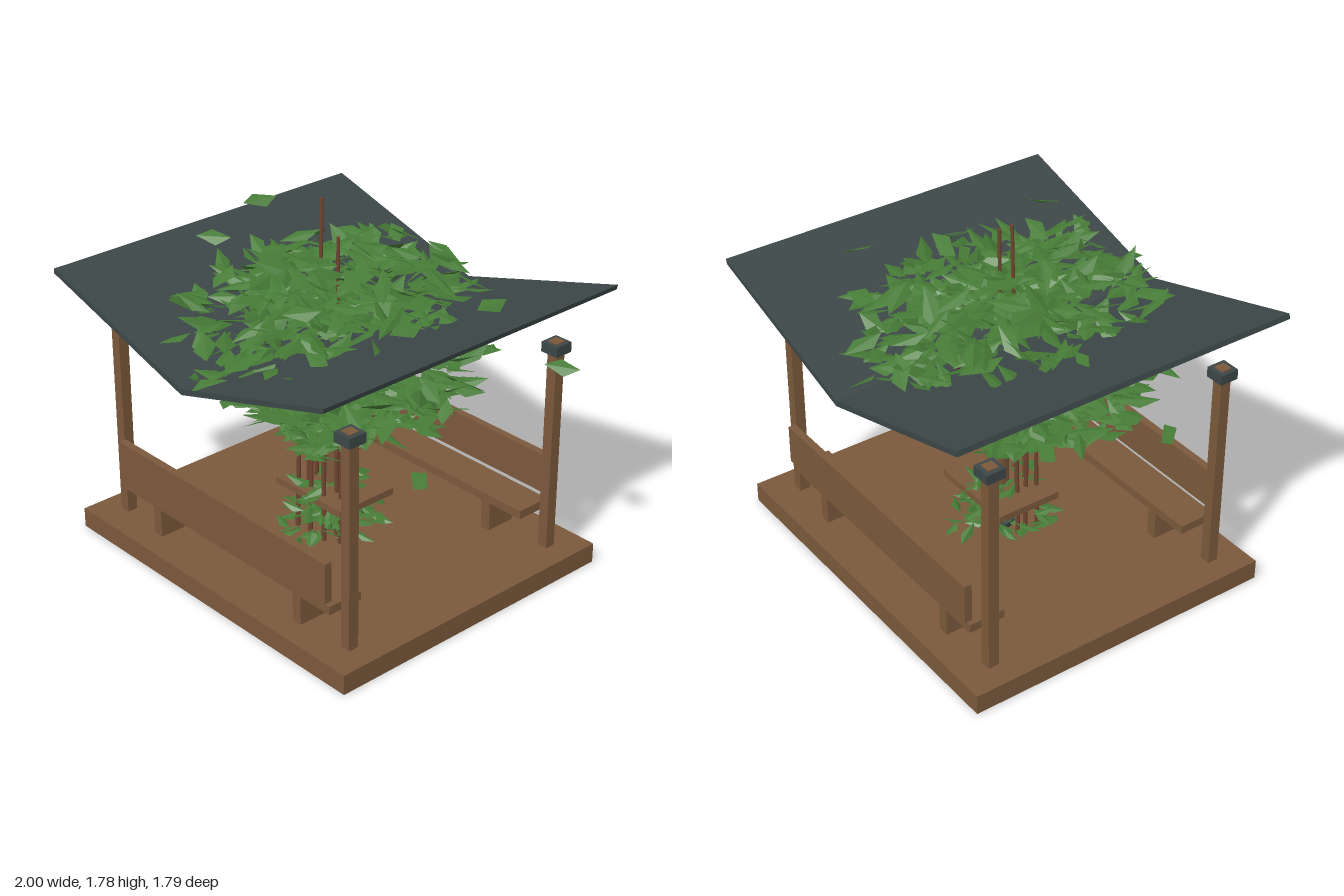
import * as THREE from 'three';

const wood = new THREE.MeshStandardMaterial({ color: 0x7b593b });
wood.name = 'wood';
const slate = new THREE.MeshStandardMaterial({ color: 0x3c4747 });
slate.name = 'slate';
const bark = new THREE.MeshStandardMaterial({ color: 0x704630 });
bark.name = 'stem bark';
const leafGreen = new THREE.MeshStandardMaterial({ color: 0x467b36, side: THREE.DoubleSide, flatShading: true });
leafGreen.name = 'leaf green';

let seed = 7;
function rand() {
  seed = (seed * 16807) % 2147483647;
  return seed / 2147483647;
}
const spread = (a) => (rand() * 2 - 1) * a;

function add(parent, name, geometry, material) {
  const mesh = new THREE.Mesh(geometry, material);
  mesh.name = name;
  parent.add(mesh);
  return mesh;
}

// Box given by its limits on each axis
function box(parent, name, material, x0, x1, y0, y1, z0, z1) {
  const mesh = add(parent, name, new THREE.BoxGeometry(x1 - x0, y1 - y0, z1 - z0), material);
  mesh.position.set((x0 + x1) / 2, (y0 + y1) / 2, (z0 + z1) / 2);
}

// Tapered round bar between two points
function rod(parent, name, material, a, b, r0, r1, sides = 6) {
  const from = new THREE.Vector3(...a), to = new THREE.Vector3(...b);
  const dir = to.clone().sub(from);
  const mesh = add(parent, name, new THREE.CylinderGeometry(r1, r0, dir.length(), sides), material);
  mesh.position.copy(from).add(to).multiplyScalar(0.5);
  mesh.quaternion.setFromUnitVectors(new THREE.Vector3(0, 1, 0), dir.normalize());
}

// Folded diamond leaf: two halves meeting at the midrib
function pushLeaf(out, centre, yaw, pitch, roll, length, width) {
  const m = new THREE.Matrix4().makeRotationFromEuler(new THREE.Euler(roll, yaw, pitch, 'YZX'));
  m.setPosition(...centre);
  const [base, tip, left, right] = [
    [-length / 2, 0, 0], [length / 2, -0.02, 0],
    [-0.12 * length, -0.018, -width / 2], [0.1 * length, -0.018, width / 2],
  ].map((p) => new THREE.Vector3(...p).applyMatrix4(m));
  for (const v of [base, tip, left, base, right, tip]) out.push(v.x, v.y, v.z);
}

function leafMesh(parent, name, positions) {
  const g = new THREE.BufferGeometry();
  g.setAttribute('position', new THREE.Float32BufferAttribute(positions, 3));
  g.computeVertexNormals();
  add(parent, name, g, leafGreen);
}

// Scatter leaves inside a profile of [height, x radius, z radius] rings
function scatterLeaves(out, count, rings, cx, cz, size) {
  const low = rings[0][0], high = rings[rings.length - 1][0];
  const widest = Math.max(...rings.map((r) => r[1]));
  while (count > 0) {
    const y = low + rand() * (high - low);
    const i = Math.max(1, rings.findIndex((r) => r[0] >= y));
    const t = (y - rings[i - 1][0]) / (rings[i][0] - rings[i - 1][0]);
    const [rx, rz] = [1, 2].map((k) => THREE.MathUtils.lerp(rings[i - 1][k], rings[i][k], t));
    if (rand() > rx / widest + 0.1) continue;
    const angle = rand() * Math.PI * 2;
    const r = Math.pow(rand(), 0.65);
    pushLeaf(out, [cx + Math.cos(angle) * r * rx, y, cz + Math.sin(angle) * r * rz],
      -angle + spread(1.2), 0.08 + spread(0.45), spread(0.55),
      size * (0.7 + rand() * 0.6), size * (0.34 + rand() * 0.2));
    count--;
  }
}

export function createModel() {
  const model = new THREE.Group();
  model.name = 'gardenPavilion';

  box(model, 'deck', wood, -1, 0.895, 0, 0.1, -0.83, 0.775);

  // Corner posts with collars
  for (const x of [-0.855, 0.747]) {
    for (const z of [0.608, -0.657]) {
      box(model, 'post', wood, x - 0.027, x + 0.027, 0.1, 1.18, z - 0.027, z + 0.027);
      box(model, 'postCap', slate, x - 0.048, x + 0.048, 1.125, 1.175, z - 0.048, z + 0.048);
    }
  }

  // Valley roof extruded front to back
  const section = new THREE.Shape();
  [[-0.98, 1.4], [-0.053, 1.128], [0.87, 1.4], [0.877, 1.425], [-0.053, 1.157], [-0.973, 1.425]]
    .forEach(([x, y], i) => (i ? section.lineTo(x, y) : section.moveTo(x, y)));
  const roof = add(model, 'butterflyRoof',
    new THREE.ExtrudeGeometry(section, { depth: 1.775, bevelEnabled: false }), slate);
  roof.position.z = -0.905;

  // Facing benches
  for (const side of [1, -1]) {
    const bench = new THREE.Group();
    bench.name = side > 0 ? 'frontBench' : 'backBench';
    box(bench, 'seat', wood, -0.79, 0.685, 0.26, 0.303, -0.093, 0.093);
    box(bench, 'backrest', wood, -0.79, 0.685, 0.33, 0.53, side * 0.1 - 0.019, side * 0.1 + 0.019);
    for (const x of [-0.56, 0.45]) box(bench, 'leg', wood, x - 0.027, x + 0.027, 0.1, 0.26, -0.08, 0.08);
    bench.position.z = side > 0 ? 0.576 : -0.627;
    model.add(bench);
  }

  // Tree in the middle with its table and stone foot
  const tree = new THREE.Group();
  tree.name = 'tree';
  model.add(tree);
  box(tree, 'table', wood, -0.285, 0.175, 0.31, 0.345, -0.195, 0.145);
  rod(tree, 'stoneFoot', slate, [-0.06, -0.001, -0.035], [-0.06, 0.14, -0.035], 0.03, 0.075, 7);
  rod(tree, 'trunk', wood, [-0.05, 0.1, -0.04], [-0.06, 1.2, -0.04], 0.06, 0.035, 8);

  // Upright stems: foot x, z, then top x, y, z
  for (const [x, z, tx, ty, tz] of [
    [-0.175, -0.01, -0.135, 1.78, -0.025], [0.02, 0.03, 0.035, 1.66, 0.03],
    [-0.18, 0.1, -0.165, 1.2, 0.08], [0.08, 0.06, 0.09, 1.25, 0.05],
    [-0.1, 0.09, -0.09, 1.1, 0.07], [0.01, 0.1, 0.0, 1.2, 0.09],
    [-0.15, 0.05, -0.18, 1.15, 0.04],
  ]) rod(tree, 'stem', bark, [x, 0.1, z], [tx, ty, tz], 0.012, 0.009);

  // Branches spreading under the crown
  for (let i = 0; i < 10; i++) {
    const a = i * 2.4, y = 0.72 + (i % 4) * 0.1, r = 0.35 + (i % 3) * 0.07;
    rod(tree, 'branch', bark, [-0.055, y, -0.035],
      [-0.055 + Math.cos(a) * r, y + 0.22, -0.035 + Math.sin(a) * r], 0.01, 0.005, 5);
  }

  // Crown foliage, with a few stray leaves at the edges
  const crown = [];
  scatterLeaves(crown, 1250, [[0.6, 0.16, 0.2], [0.76, 0.24, 0.28], [0.86, 0.54, 0.4],
    [0.95, 0.71, 0.5], [1.12, 0.75, 0.72], [1.28, 0.66, 0.76], [1.42, 0.54, 0.72],
    [1.49, 0.4, 0.5], [1.53, 0.2, 0.25]], -0.05, 0.01, 0.2);
  for (const [x, y, z, yaw] of [[0.92, 1.17, -0.5, 0.3], [0.84, 0.87, 0.3, -0.4],
    [-0.66, 1.6, -0.1, 1.2], [-0.52, 1.57, 0.3, 0.5], [0.32, 1.54, 0.5, 0.9], [0.63, 1.42, -0.35, 1.4],
    [-0.8, 0.9, 0.35, 2.6], [-0.76, 1.05, -0.3, 2.9], [0.53, 1.4, 0.08, 1.3],
    [0.0, 1.56, 0.45, 1.8], [-0.15, 1.6, 0.25, 1.4], [-0.03, 1.2, -0.76, 1.7], [0.06, 1.2, 0.8, 1.3]])
    pushLeaf(crown, [x, y, z], yaw, 0.15, 0.6, 0.17, 0.09);
  leafMesh(tree, 'crownLeaves', crown);

  // Low planting around the foot
  const shrub = [];
  scatterLeaves(shrub, 150, [[0.13, 0.22, 0.3], [0.25, 0.21, 0.27], [0.38, 0.15, 0.18]], -0.05, -0.01, 0.125);
  leafMesh(tree, 'lowLeaves', shrub);

  return model;
}
